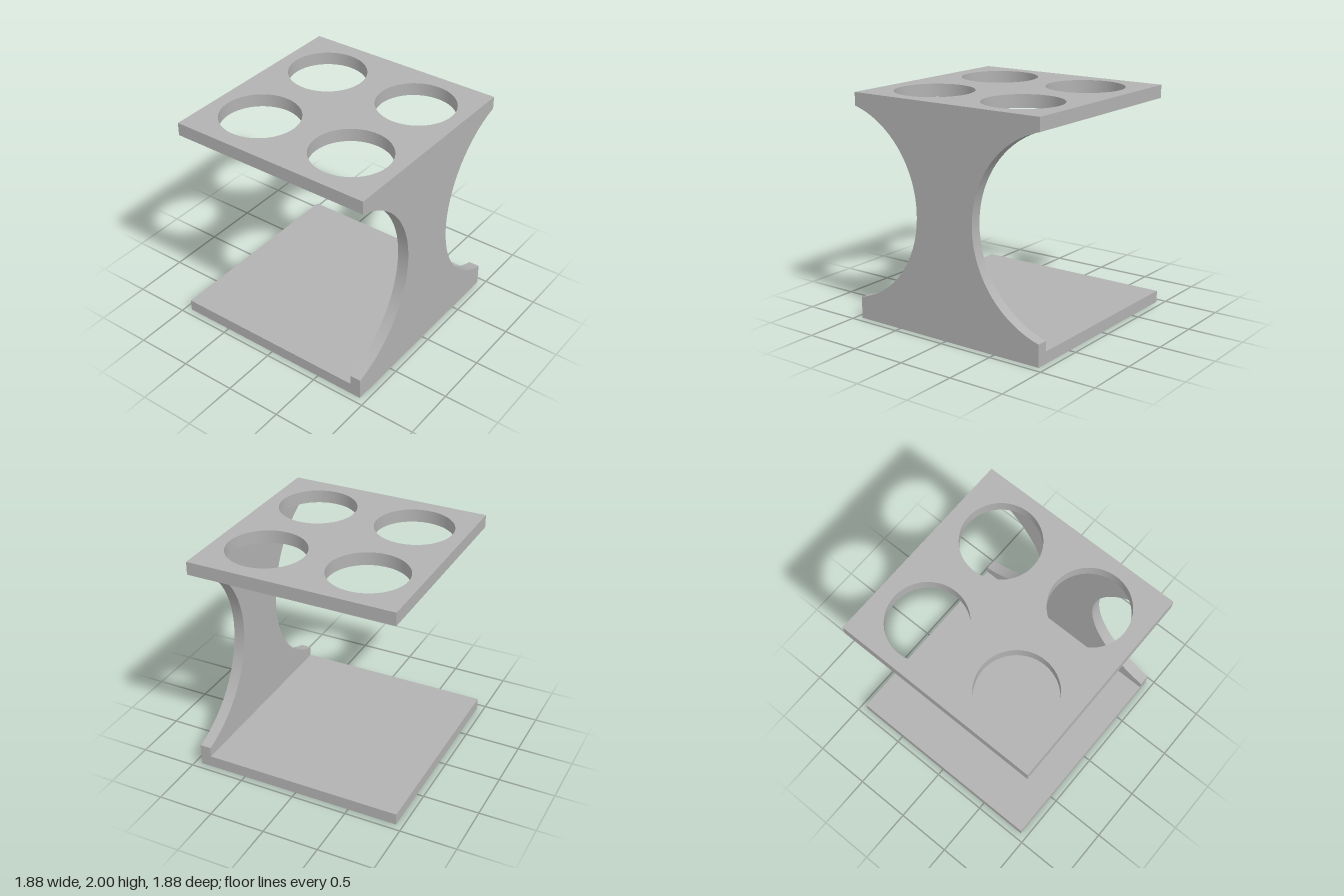
import * as THREE from 'three';
import { toCreasedNormals } from 'three/addons/utils/BufferGeometryUtils.js';

const HALF = 0.94;          // half width and half depth
const BASE_TOP = 0.105;     // top of the base plate
const TRAY_BOTTOM = 1.885;  // underside of the holed tray
const WALL = 0.1;           // thickness of the upright

function extrude(shape, depth) {
  return toCreasedNormals(
    new THREE.ExtrudeGeometry(shape, { depth, bevelEnabled: false, curveSegments: 64 }), 0.5);
}

export function createModel() {
  const group = new THREE.Group();
  const grey = new THREE.MeshStandardMaterial({ name: 'grey', color: 0xb2b2b2 });
  const add = (name, geometry) => {
    const mesh = new THREE.Mesh(geometry, grey);
    mesh.name = name;
    group.add(mesh);
  };

  // Base plate
  const base = new THREE.BoxGeometry(2 * HALF, BASE_TOP, 2 * HALF);
  base.translate(0, BASE_TOP / 2, 0);
  add('basePlate', base);

  // Upright front panel with a circular bite on each side
  const bottomCorner = 0.195, waist = 0.287;
  const rise = (TRAY_BOTTOM - bottomCorner) / 2, bite = HALF - waist;
  const radius = (rise * rise + bite * bite) / (2 * bite);
  const cx = waist + radius, cy = bottomCorner + rise;
  const a = Math.atan2(rise, cx - HALF);
  const panel = new THREE.Shape();
  panel.moveTo(-HALF, BASE_TOP);
  panel.lineTo(HALF, BASE_TOP);
  panel.lineTo(HALF, bottomCorner);
  panel.absarc(cx, cy, radius, Math.PI + a, Math.PI - a, true);
  panel.lineTo(-HALF, TRAY_BOTTOM);
  panel.absarc(-cx, cy, radius, a, -a, true);
  panel.closePath();
  add('uprightPanel', extrude(panel, WALL).translate(0, 0, HALF - WALL));

  // Top tray with four round holes (shape y becomes z)
  const back = -0.895;
  const tray = new THREE.Shape();
  tray.moveTo(-HALF, back);
  tray.lineTo(HALF, back);
  tray.lineTo(HALF, HALF);
  tray.lineTo(-HALF, HALF);
  tray.closePath();
  for (const x of [-0.457, 0.457]) {
    for (const z of [-0.435, 0.48]) {
      tray.holes.push(new THREE.Path().absarc(x, z, 0.343, 0, 2 * Math.PI, true));
    }
  }
  const trayGeometry = extrude(tray, 2 - TRAY_BOTTOM);
  trayGeometry.rotateX(Math.PI / 2).translate(0, 2, 0);
  add('holedTray', trayGeometry);

  return group;
}
